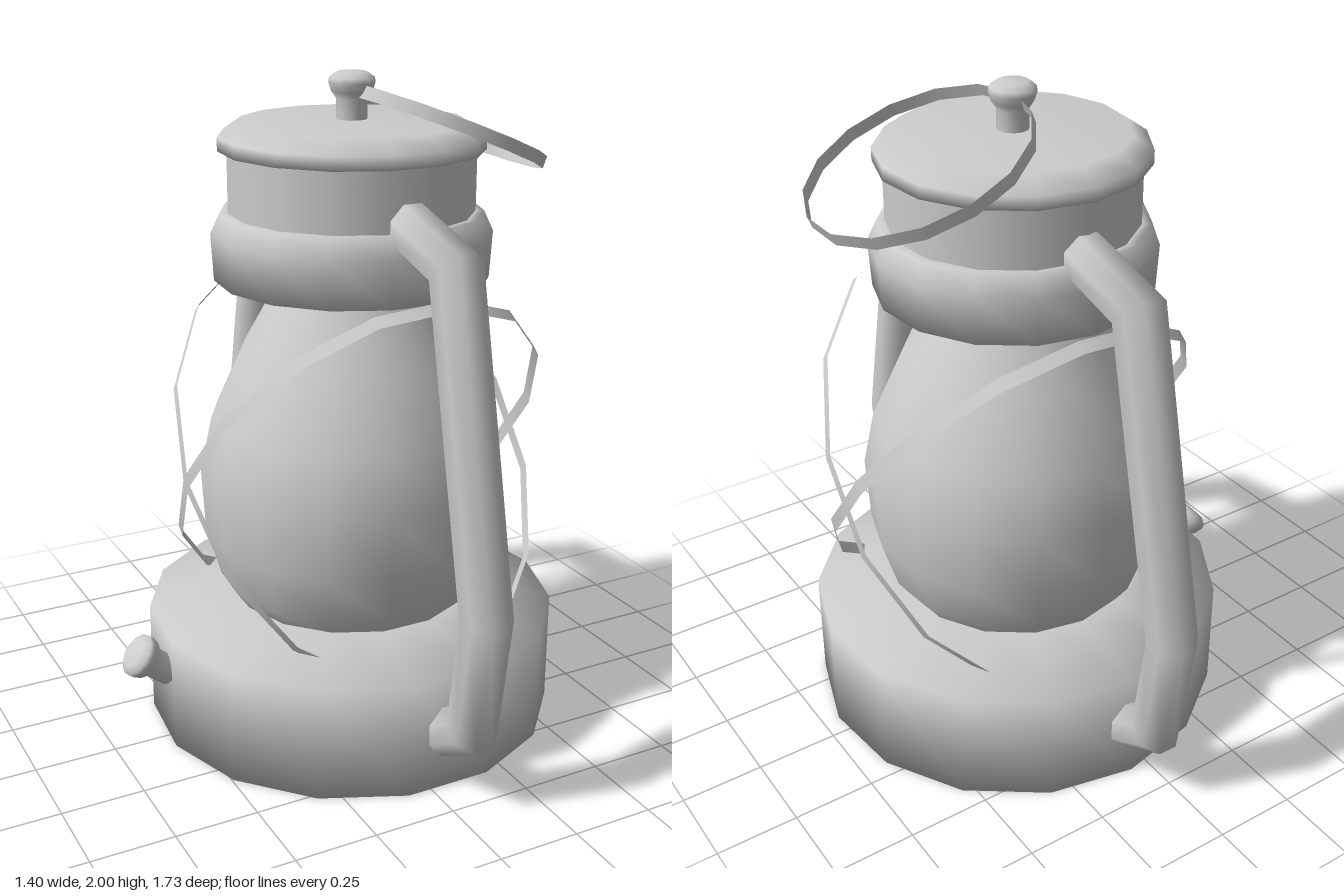
import * as THREE from 'three';

const SIDES = 15;
const metal = new THREE.MeshStandardMaterial({ color: 0xcccccc, side: THREE.DoubleSide });
metal.name = 'grey metal';

function addMesh(parent, name, geometry) {
  const mesh = new THREE.Mesh(geometry, metal);
  mesh.name = name;
  parent.add(mesh);
  return mesh;
}

// Smooth turned part; profile runs from bottom to top as [radius, height]
function turned(profile, sides = SIDES) {
  return new THREE.LatheGeometry(profile.map(([r, y]) => new THREE.Vector2(r, y)), sides, Math.PI);
}

// Zero-thickness round band, lying flat
function band(radius, width) {
  return new THREE.CylinderGeometry(radius, radius, width, SIDES, 1, true, -Math.PI / 2);
}

// Mitred pipe along a path of [z, y] points in the plane x = 0
function pipe(path, radius, sides = 8) {
  const pts = path.map(([z, y]) => new THREE.Vector3(0, y, z));
  const side = new THREE.Vector3(1, 0, 0);
  const pos = [], index = [];
  pts.forEach((p, i) => {
    const before = p.clone().sub(pts[Math.max(i - 1, 0)]).normalize();
    const after = pts[Math.min(i + 1, pts.length - 1)].clone().sub(p).normalize();
    const tangent = before.clone().add(after).normalize();
    const miter = 1 / Math.max(tangent.dot(i ? before : after), 0.5);
    const normal = side.clone().cross(tangent);
    for (let j = 0; j < sides; j++) {
      const a = ((j + 0.5) / sides) * Math.PI * 2;
      const v = p.clone()
        .addScaledVector(normal, Math.cos(a) * radius * miter)
        .addScaledVector(side, Math.sin(a) * radius);
      pos.push(v.x, v.y, v.z);
      if (i < pts.length - 1) {
        const k = (j + 1) % sides, r = i * sides, s = r + sides;
        index.push(r + j, r + k, s + j, r + k, s + k, s + j);
      }
    }
  });
  const geo = new THREE.BufferGeometry();
  geo.setAttribute('position', new THREE.Float32BufferAttribute(pos, 3));
  geo.setIndex(index);
  geo.computeVertexNormals();
  return geo;
}

export function createModel() {
  const model = new THREE.Group();
  model.name = 'lantern';
  const body = new THREE.Group();
  body.name = 'lanternBody';
  body.position.x = 0.06;
  model.add(body);

  // Fuel tank
  addMesh(body, 'base', turned([[0, 0], [0.64, 0], [0.64, 0.35], [0.36, 0.4], [0, 0.41]]));

  // Glass globe
  addMesh(body, 'globe', turned([
    [0.36, 0.38], [0.41, 0.45], [0.455, 0.6], [0.466, 0.8], [0.43, 0.97],
    [0.335, 1.18], [0.245, 1.34], [0.21, 1.42],
  ]));

  // Collar and chimney above the globe
  addMesh(body, 'collar', turned([
    [0.2, 1.37], [0.25, 1.37], [0.41, 1.4], [0.418, 1.54], [0.39, 1.6], [0.365, 1.6],
  ]));
  addMesh(body, 'chimney', turned([[0.365, 1.58], [0.365, 1.79]]));
  addMesh(body, 'lid', turned([
    [0.34, 1.78], [0.392, 1.78], [0.392, 1.82], [0.335, 1.86], [0, 1.865],
  ]));

  // Lid knob and fuel cap share one shape
  const knob = turned([
    [0.046, 0], [0.046, 0.07], [0.06, 0.09], [0.068, 0.115], [0.066, 0.13], [0.045, 0.145], [0, 0.147],
  ], 12);
  addMesh(body, 'lidKnob', knob).position.y = 1.853;
  const cap = addMesh(body, 'fuelCap', knob);
  cap.position.set(-0.625, 0.225, 0);
  cap.rotation.z = 0.9;

  // Side arms, front and back
  const arm = pipe([[0.33, 1.615], [0.59, 1.545], [0.795, 0.61], [0.742, 0.25], [0.58, 0.155]], 0.075);
  addMesh(body, 'frontArm', arm);
  addMesh(body, 'backArm', arm).rotation.y = Math.PI;

  // Crossed guard wires around the globe
  const wire = band(0.575, 0.04);
  for (const s of [-1, 1]) {
    const guard = addMesh(body, 'guardWire', wire);
    guard.position.set(0.025, 0.83, 0);
    guard.scale.z = 1.29;
    guard.rotation.x = s * 0.9;
  }

  // Carrying ring hanging from the knob
  const ring = addMesh(body, 'carryRing', band(0.33, 0.038));
  ring.position.set(0.3, 1.825, 0);
  ring.rotation.z = -0.39;

  return model;
}
